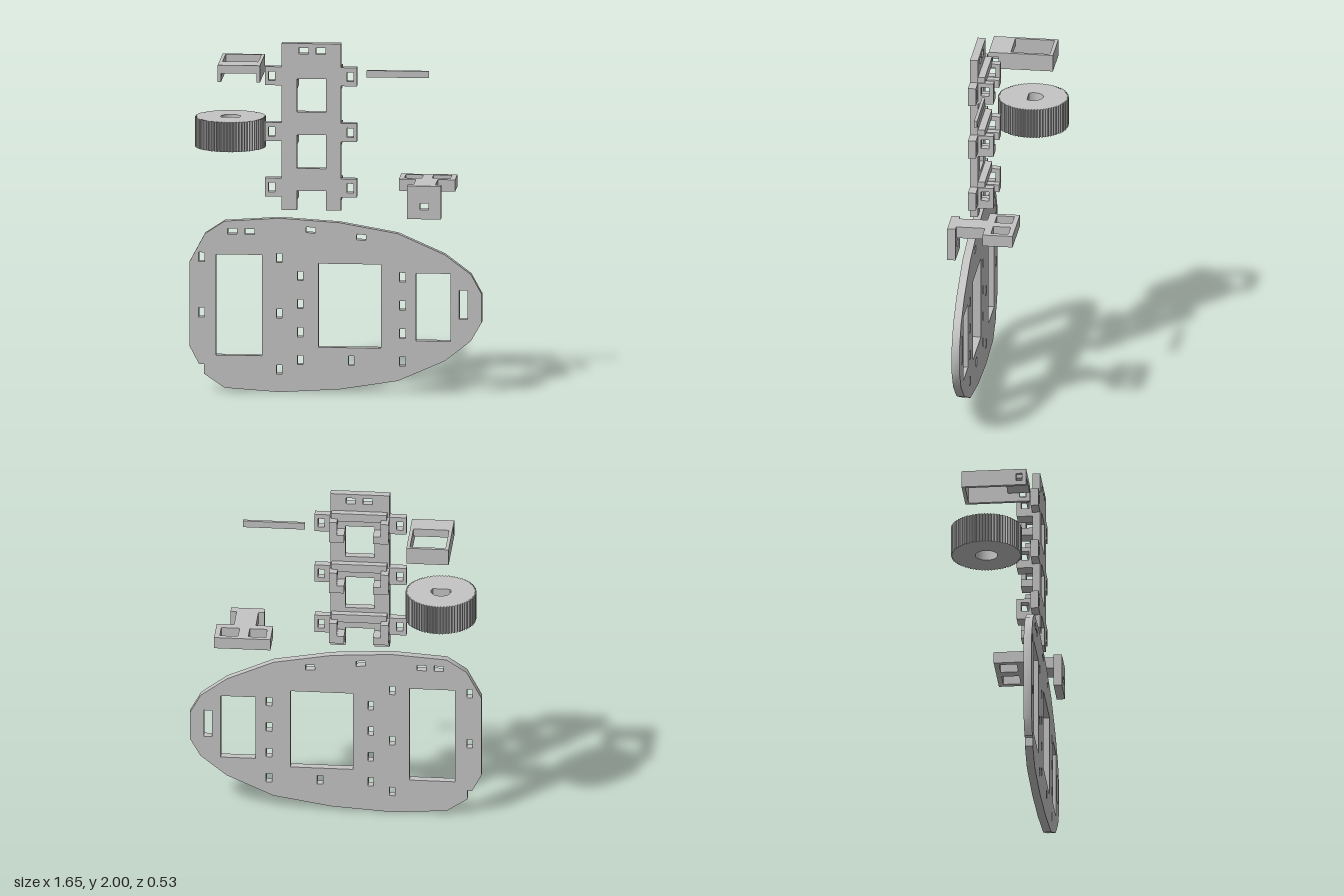
import * as THREE from 'three';
import { toCreasedNormals } from 'three/addons/utils/BufferGeometryUtils.js';

const grey = new THREE.MeshStandardMaterial({ color: 0xc4c4c4 });
grey.name = 'lightGrey';

const toShape = (pts) => new THREE.Shape(pts.map(([x, y]) => new THREE.Vector2(x, y)));
const rect = (x0, y0, x1, y1) => [[x0, y0], [x1, y0], [x1, y1], [x0, y1]];
// Slot of size w x h around a centre, optionally tilted
const slot = (cx, cy, w = 0.032, h = 0.053, a = 0) =>
  rect(-w / 2, -h / 2, w / 2, h / 2).map(([x, y]) =>
    [cx + x * Math.cos(a) - y * Math.sin(a), cy + x * Math.sin(a) + y * Math.cos(a)]);

function plate(pts, holes, depth) {
  const shape = toShape(pts);
  shape.holes = holes.map(toShape);
  return new THREE.ExtrudeGeometry(shape, { depth, bevelEnabled: false, steps: 1 });
}

function add(parent, name, geometry, x = 0, y = 0, z = 0) {
  const mesh = new THREE.Mesh(geometry, grey);
  mesh.name = name;
  mesh.position.set(x, y, z);
  parent.add(mesh);
}

function box(parent, name, x0, x1, y0, y1, z0, z1) {
  add(parent, name, new THREE.BoxGeometry(x1 - x0, y1 - y0, z1 - z0),
    (x0 + x1) / 2, (y0 + y1) / 2, (z0 + z1) / 2);
}

function group(parent, name) {
  const g = new THREE.Group();
  g.name = name;
  parent.add(g);
  return g;
}

const Z0 = 0.164, T = 0.045; // back face and thickness of the upright plates

function basePlate(root) {
  const outline = [
    [-0.827, 0.743], [-0.827, 0.255], [-0.774, 0.154], [-0.747, 0.154], [-0.747, 0.1],
    [-0.63, 0.021], [-0.318, 0], [0.021, 0.021], [0.35, 0.074], [0.615, 0.191],
    [0.763, 0.308], [0.824, 0.414], [0.824, 0.578], [0.763, 0.69], [0.615, 0.801],
    [0.35, 0.918], [0.021, 0.976], [-0.318, 0.997], [-0.63, 0.976], [-0.742, 0.902],
  ];
  const holes = [
    rect(-0.678, 0.207, -0.419, 0.785), rect(-0.1, 0.26, 0.254, 0.74),
    rect(0.453, 0.305, 0.649, 0.692), rect(0.697, 0.432, 0.745, 0.597),
    slot(-0.586, 0.918, 0.053, 0.032), slot(-0.488, 0.918, 0.053, 0.032),
    slot(-0.143, 0.931, 0.053, 0.032, -0.09), slot(0.143, 0.894, 0.053, 0.032, -0.09),
    slot(0.087, 0.186), slot(-0.321, 0.13),
  ];
  for (const y of [0.451, 0.769]) for (const x of [-0.76, -0.321]) holes.push(slot(x, y));
  for (const y of [0.186, 0.345, 0.507, 0.668]) for (const x of [-0.201, 0.376]) holes.push(slot(x, y));
  // The rim is shaded smoothly, the corners stay sharp
  add(root, 'basePlate', toCreasedNormals(plate(outline, holes, T), 0.65), 0, 0, Z0);
}

function tower(root) {
  const g = group(root, 'tower');
  const levels = [1.174, 1.492, 1.812]; // centres of the side tabs
  const L = -0.307, R = 0.029, iL = -0.22, iR = -0.056, tL = -0.402, tR = 0.118;
  // Outline with tabs on both sides and a notch between two feet
  const right = [], left = [];
  for (const y of levels) {
    right.push([R, y - 0.053], [tR, y - 0.053], [tR, y + 0.053], [R, y + 0.053]);
    left.unshift([L, y + 0.053], [tL, y + 0.053], [tL, y - 0.053], [L, y - 0.053]);
  }
  const outline = [[L, 1.045], [iL, 1.045], [iL, 1.156], [iR, 1.156], [iR, 1.045], [R, 1.045],
    ...right, [R, 2], [L, 2], ...left];
  const holes = [rect(iL, 1.284, iR, 1.477), rect(iL, 1.607, iR, 1.798),
    slot(-0.183, 1.958, 0.053, 0.036), slot(-0.087, 1.958, 0.053, 0.036)];
  for (const y of levels) for (const x of [-0.364, 0.08]) holes.push(slot(x, y, 0.036, 0.053));
  add(g, 'towerPlate', plate(outline, holes, T), 0, 0, Z0);

  // Behind each pair of tabs: pierced lugs with an inner ledge, and a cross bar
  const wall = 0.045;
  for (const y of levels) {
    for (const [lugX, ledgeX0, ledgeX1] of [[L, L + wall, iL], [R - wall, iR, R - wall]]) {
      const lug = plate(rect(-Z0, y - 0.075, -0.076, y + 0.05), [slot(-0.124, y, 0.045, 0.053)], wall);
      add(g, 'lug', lug.rotateY(Math.PI / 2), lugX);
      box(g, 'lugLedge', ledgeX0, ledgeX1, y - 0.075, y - 0.03, 0.076, Z0);
    }
    box(g, 'crossBar', -0.294, 0.02, y + 0.035, y + 0.083, 0.125, Z0);
  }
}

function frame(root) {
  const g = group(root, 'openFrame');
  // Side walls with a pin hole near the front
  for (const x of [-0.673, -0.453]) {
    const wall = plate(rect(-Z0, 1.764, 0.202, 1.861), [slot(-0.124, 1.812, 0.035, 0.045)], 0.019);
    add(g, 'frameSide', wall.rotateY(Math.PI / 2), x);
  }
  box(g, 'frameBack', -0.654, -0.453, 1.764, 1.861, -0.202, -0.182);
  box(g, 'frameTop', -0.654, -0.453, 1.815, 1.861, 0.04, Z0);
}

function wheel(root) {
  const g = group(root, 'toothedWheel');
  const teeth = 72, outline = [];
  for (let i = 0; i < teeth; i++) {
    for (const [f, r] of [[0, 0.19], [0.3, 0.2], [0.6, 0.2], [0.9, 0.19]]) {
      const a = (i + f) / teeth * Math.PI * 2;
      outline.push([r * Math.cos(a), r * Math.sin(a)]);
    }
  }
  // Bore: an arc closed by a flat side above, a wider circle below
  const arc = (r, from, to) => Array.from({ length: 33 }, (_, i) => {
    const a = from + (to - from) * i / 33;
    return [r * Math.cos(a), r * Math.sin(a)];
  });
  const cut = Math.asin(0.03 / 0.057);
  const flat = arc(0.057, -cut, Math.PI + cut + 0.13);
  const round = arc(0.063, 0, Math.PI * 2);
  const upper = plate(outline, [flat], 0.11);
  const lower = plate(outline, [round], 0.06);
  add(g, 'wheelTop', upper.rotateX(-Math.PI / 2), -0.618, 1.417, -0.066);
  add(g, 'wheelBottom', lower.rotateX(-Math.PI / 2), -0.618, 1.357, -0.066);
}

function bracket(root) {
  const g = group(root, 'bracket');
  // Flat tray with two windows and a stem, laid horizontally (shape y is -z)
  const outline = [[0.343, 0.116], [0.343, -0.055], [0.44, -0.055], [0.44, -0.218],
    [0.564, -0.218], [0.564, -0.055], [0.662, -0.055], [0.662, 0.116]];
  const holes = [rect(0.372, -0.011, 0.471, 0.088), rect(0.529, -0.011, 0.632, 0.088)];
  add(g, 'bracketTray', plate(outline, holes, 0.067).rotateX(-Math.PI / 2), 0, 1.136, 0);
  const front = plate(rect(0.406, 1.013, 0.598, 1.203), [slot(0.503, 1.085, 0.048, 0.037)], 0.047);
  add(g, 'bracketFront', front, 0, 0, 0.217);
}

export function createModel() {
  const root = new THREE.Group();
  root.name = 'partsKit';
  basePlate(root);
  tower(root);
  frame(root);
  wheel(root);
  bracket(root);
  box(root, 'pinRod', 0.167, 0.518, 1.796, 1.835, 0.105, 0.122);
  return root;
}
